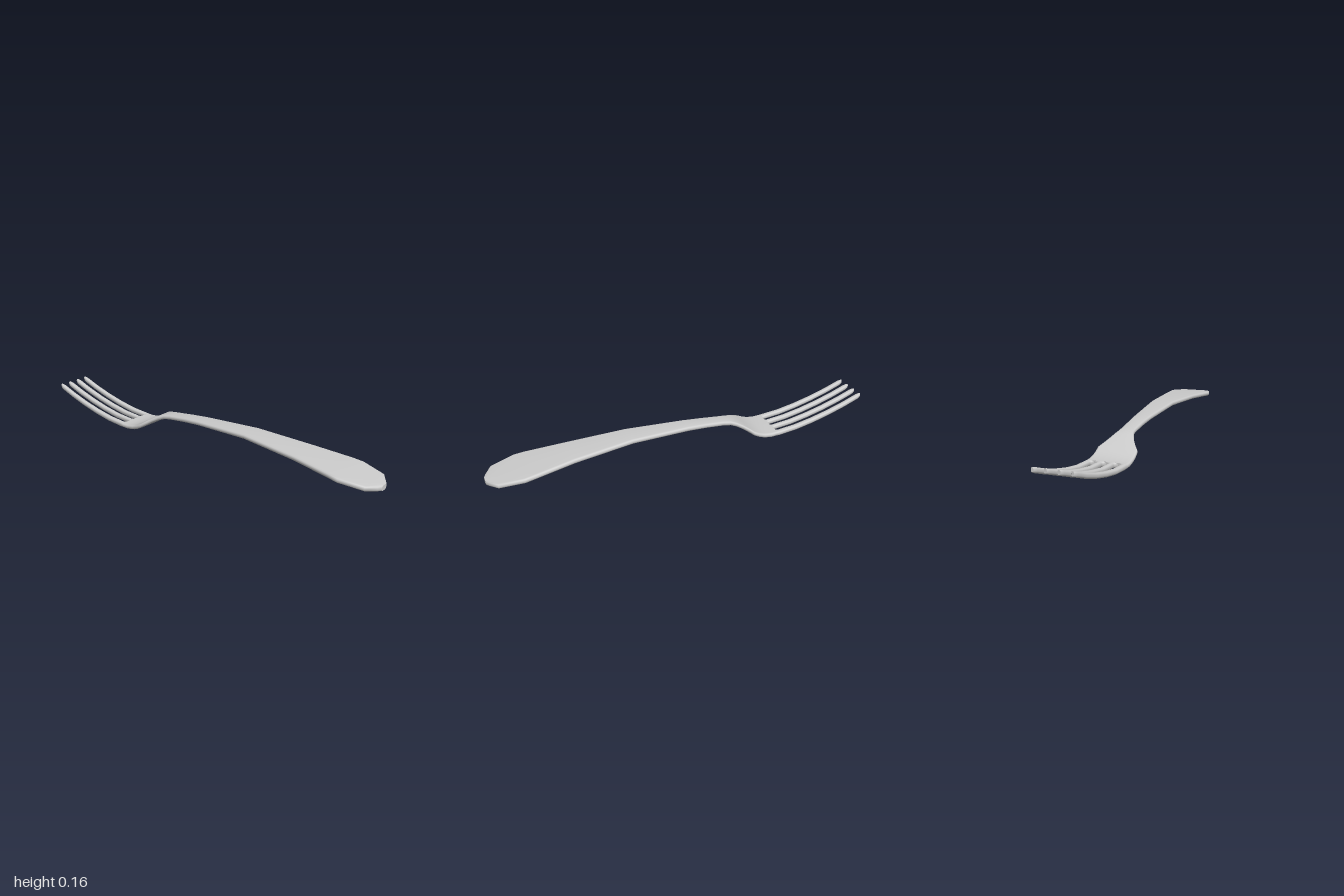
import * as THREE from 'three';

const material = new THREE.MeshStandardMaterial({ color: 0xcccccc });

// Side profile: [z, height of the centre line]
const spine = [
  [1, 0.098], [0.955, 0.106], [0.8, 0.124], [0.6, 0.139], [0.3, 0.151], [0, 0.134],
  [-0.1, 0.124], [-0.2, 0.111], [-0.24, 0.104], [-0.28, 0.09], [-0.32, 0.066], [-0.36, 0.039],
  [-0.4, 0.021], [-0.45, 0.013], [-0.5, 0.0135], [-0.6, 0.02], [-0.7, 0.036],
  [-0.8, 0.058], [-0.9, 0.086], [-1, 0.12],
];
// Outline: [z, half width]
const outline = [
  [1, 0.02], [0.99, 0.038], [0.955, 0.086], [0.84, 0.115], [0.79, 0.111], [0.6, 0.086],
  [0.3, 0.06], [0, 0.043], [-0.1, 0.039], [-0.2, 0.037], [-0.24, 0.04], [-0.27, 0.05],
  [-0.3, 0.064], [-0.325, 0.08], [-0.35, 0.099], [-0.38, 0.1], [-0.41, 0.101],
  [-0.45, 0.102], [-0.485, 0.102],
];

function heightAt(z) {
  const i = Math.max(1, spine.findIndex((p) => p[0] <= z + 1e-6));
  const [z0, y0] = spine[i - 1], [z1, y1] = spine[i];
  return y0 + (y1 - y0) * (z - z0) / (z1 - z0);
}

// Skin a row of rounded sections { z, x0, x1, h }, ordered from +z to -z
function loft(name, sections) {
  const pos = [], idx = [];
  const rings = sections.map(({ z, x0, x1, h }) => {
    const cx = (x0 + x1) / 2, w = (x1 - x0) / 2, y = heightAt(z);
    const b = Math.min(w * 0.55, 0.012);
    const right = [[w - b, -h], [w - b * 0.3, -h * 0.75], [w, -h * 0.3], [w, h * 0.3], [w - b * 0.3, h * 0.75], [w - b, h]];
    const left = right.map(([px, py]) => [-px, -py]);
    return [...right, [0, h], ...left, [0, -h]].map(([px, py]) => [cx + px, y + py, z]);
  });
  const n = rings[0].length, last = rings.length - 1;
  rings.forEach((r) => r.forEach((p) => pos.push(...p)));
  for (let i = 0; i < last; i++) {
    for (let j = 0; j < n; j++) {
      const a = i * n + j, b = i * n + (j + 1) % n;
      idx.push(a, a + n, b + n, a, b + n, b);
    }
  }
  // End caps with their own vertices, so their rims stay crisp
  [0, last].forEach((r) => {
    const base = pos.length / 3;
    rings[r].forEach((p) => pos.push(...p));
    for (let j = 1; j < n - 1; j++) {
      if (r === 0) idx.push(base, base + j, base + j + 1);
      else idx.push(base, base + j + 1, base + j);
    }
  });
  const geo = new THREE.BufferGeometry();
  geo.setAttribute('position', new THREE.Float32BufferAttribute(pos, 3));
  geo.setIndex(idx);
  geo.computeVertexNormals();
  const mesh = new THREE.Mesh(geo, material);
  mesh.name = name;
  return mesh;
}

export function createModel() {
  const group = new THREE.Group();
  group.name = 'fork';

  // Handle, neck and palm
  group.add(loft('handleAndPalm', outline.map(([z, w]) => ({ z, x0: -w, x1: w, h: 0.0125 }))));

  // Four tines; the gaps between them start as half circles
  const rootZ = -0.485, slotR = 0.0155, slots = [-0.057, 0, 0.057];
  const rows = [0, 0.002, 0.005, 0.009, slotR].map((d) => rootZ - d)
    .concat([-0.55, -0.6, -0.65, -0.7, -0.75, -0.8, -0.85, -0.9, -0.95, -0.98, -0.993, -1]);
  const tines = new THREE.Group();
  tines.name = 'tines';
  for (let t = 0; t < 4; t++) {
    tines.add(loft('tine' + (t + 1), rows.map((z) => {
      const d = Math.min(rootZ - z, slotR);
      const gap = Math.sqrt(Math.max(0, slotR ** 2 - (slotR - d) ** 2));
      // Outer edges lean in slightly; the tip is rounded off
      const edge = 0.102 - 0.005 * (rootZ - z) / 0.515;
      const tip = z < -0.999 ? 0.007 : z < -0.99 ? 0.003 : 0;
      return {
        z,
        x0: (t === 0 ? -edge : slots[t - 1] + gap) + tip,
        x1: (t === 3 ? edge : slots[t] - gap) - tip,
        h: 0.0125 - tip * 0.4,
      };
    })));
  }
  group.add(tines);
  return group;
}
